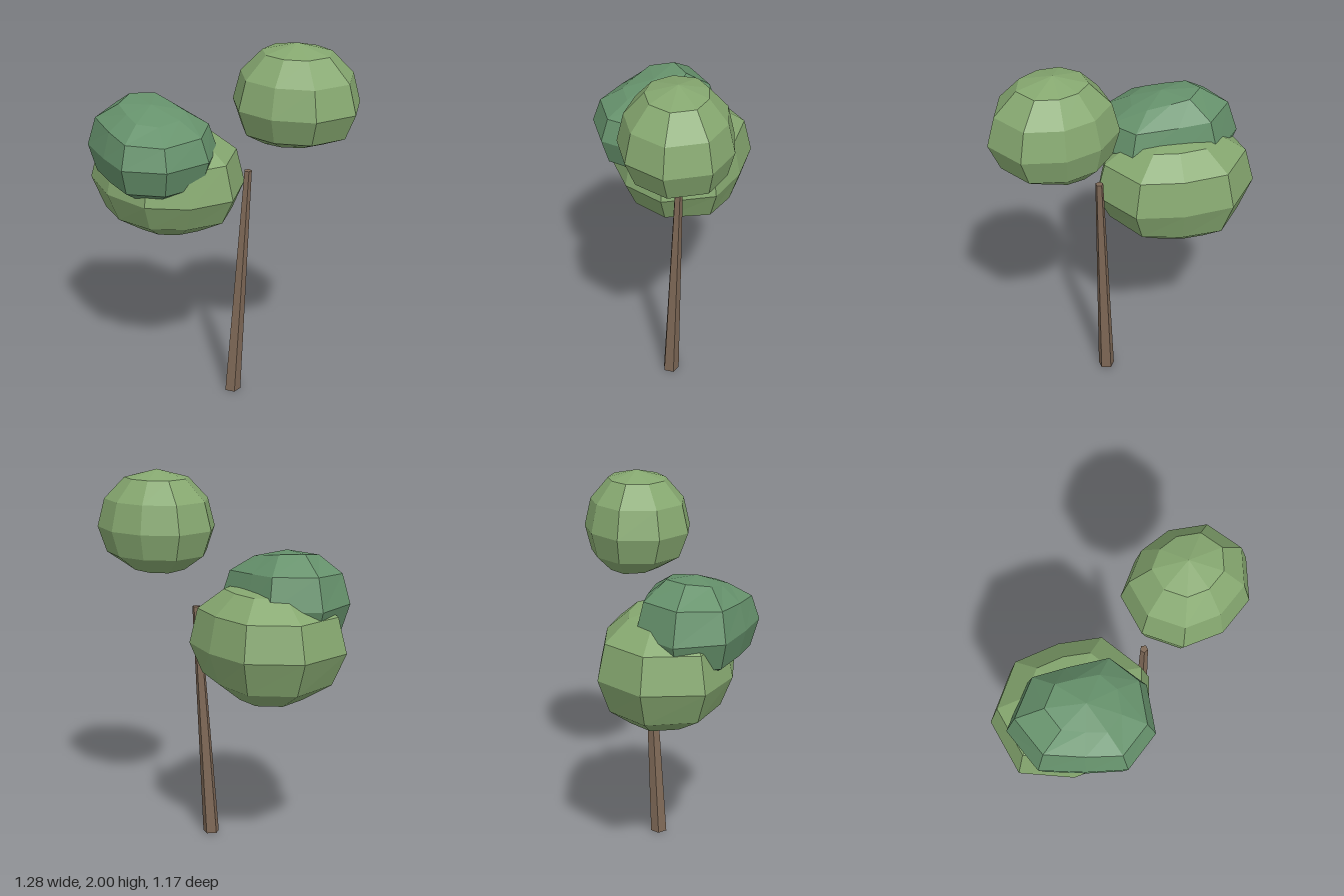
import * as THREE from 'three';

const flat = (color) => new THREE.MeshStandardMaterial({ color, flatShading: true });

// Faceted leaf clump: an equator outline [x, z], scaled ring by ring toward its centre.
// Each ring is [scale, y, z shift, tilt of y along z]; the first and last rings are poles.
function clump(name, color, [cx, cz], outline, rings) {
  const n = outline.length, pos = [], index = [];
  for (const [s, y, dz = 0, tilt = 0] of rings) {
    for (const [x, z] of outline) {
      const oz = (z - cz) * s;
      pos.push(cx + (x - cx) * s, y + oz * tilt, cz + oz + dz);
    }
  }
  for (let k = 0; k < rings.length - 1; k++) {
    for (let i = 0; i < n; i++) {
      const j = (i + 1) % n;
      const b = k * n + i, d = k * n + j, a = b + n, c = d + n;
      if (k < rings.length - 2) index.push(a, b, c);
      if (k > 0) index.push(b, d, c);
    }
  }
  let g = new THREE.BufferGeometry();
  g.setAttribute('position', new THREE.Float32BufferAttribute(pos, 3));
  g.setIndex(index);
  g = g.toNonIndexed();
  g.computeVertexNormals();
  const mesh = new THREE.Mesh(g, flat(color));
  mesh.name = name;
  return mesh;
}

export function createModel() {
  const tree = new THREE.Group();
  tree.name = 'tree';

  // Five-sided tapering trunk, sheared so that it leans while its ends stay level
  const height = 1.285;
  const trunkGeo = new THREE.CylinderGeometry(0.021, 0.045, height, 5);
  trunkGeo.translate(0, height / 2, 0);
  const p = trunkGeo.attributes.position;
  for (let i = 0; i < p.count; i++) p.setX(i, p.getX(i) + 0.078 * p.getY(i) / height);
  trunkGeo.computeVertexNormals();
  const trunk = new THREE.Mesh(trunkGeo, flat(0x7f6957));
  trunk.name = 'trunk';
  trunk.position.set(0.043, 0.005, 0.112);
  tree.add(trunk);

  // Highest clump, right of the trunk top
  tree.add(clump('upperFoliage', 0x86a870, [0.32, 0.27],
    [[0.64, 0.32], [0.54, 0.53], [0.32, 0.585], [0.125, 0.49], [0.01, 0.32],
      [0.04, 0.11], [0.21, -0.03], [0.41, 0], [0.56, 0.12]],
    [[0, 2], [0.54, 1.955], [0.88, 1.84], [1, 1.69],
      [0.85, 1.555, -0.01], [0.5, 1.485, -0.03, 0.08], [0, 1.457, -0.06]]));

  // Large lower clump
  tree.add(clump('lowerFoliage', 0x86a870, [-0.22, -0.18],
    [[0.165, -0.1], [0.03, 0.16], [-0.21, 0.21], [-0.43, 0.13], [-0.58, -0.1],
      [-0.615, -0.38], [-0.38, -0.585], [-0.085, -0.55], [0.075, -0.335]],
    [[0, 1.46], [0.54, 1.435], [0.89, 1.33], [1, 1.145],
      [0.83, 0.985, 0, 0.06], [0.46, 0.89, -0.03, 0.06], [0, 0.867, -0.04]]));

  // Darker clump resting on the lower one
  tree.add(clump('darkFoliage', 0x66926c, [-0.34, -0.08],
    [[-0.005, -0.025], [-0.1, 0.17], [-0.34, 0.265], [-0.55, 0.17], [-0.605, -0.03],
      [-0.645, -0.26], [-0.48, -0.46], [-0.22, -0.42], [-0.12, -0.25]],
    [[0, 1.625], [0.5, 1.595, 0, -0.2], [0.87, 1.515, 0, -0.08], [1, 1.375],
      [0.87, 1.235], [0.5, 1.16], [0, 1.13]]));

  return tree;
}
